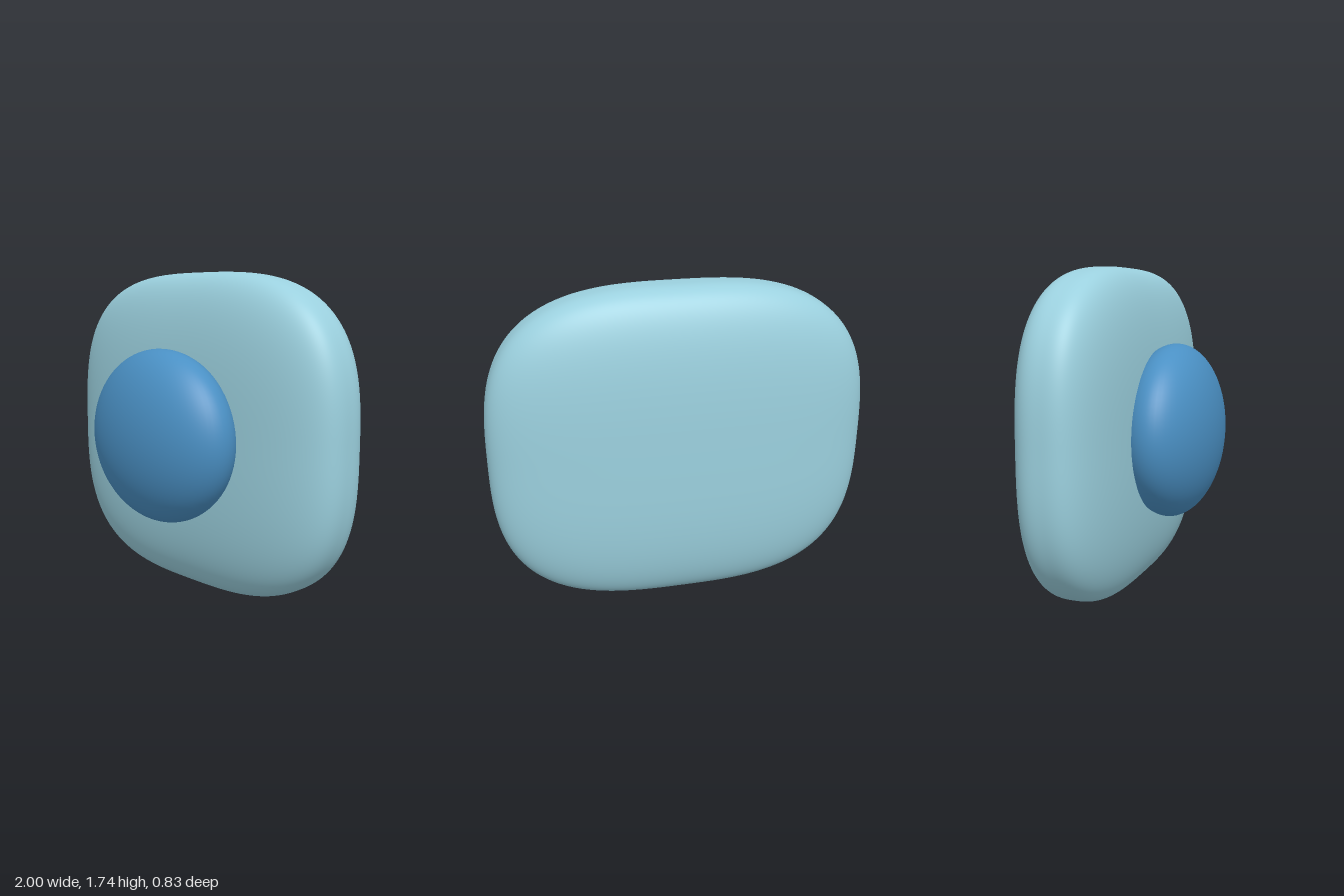
import * as THREE from 'three';

// Rounded pillow: a cube grid pushed onto |x|^n + |y|^n + |z|^n = 1, then scaled
function pillowGeometry(radii, n, segments) {
  const geometry = new THREE.BoxGeometry(2, 2, 2, segments, segments, segments);
  const position = geometry.attributes.position;
  const normal = geometry.attributes.normal;
  const p = new THREE.Vector3();
  const slope = (v, r) => Math.sign(v) * Math.abs(v) ** (n - 1) / r;
  for (let i = 0; i < position.count; i++) {
    p.fromBufferAttribute(position, i);
    const size = (Math.abs(p.x) ** n + Math.abs(p.y) ** n + Math.abs(p.z) ** n) ** (1 / n);
    p.divideScalar(size);
    position.setXYZ(i, p.x * radii.x, p.y * radii.y, p.z * radii.z);
    // exact surface normal keeps the cube seams smooth
    p.set(slope(p.x, radii.x), slope(p.y, radii.y), slope(p.z, radii.z)).normalize();
    normal.setXYZ(i, p.x, p.y, p.z);
  }
  return geometry;
}

export function createModel() {
  const model = new THREE.Group();
  const centreY = 0.872;

  // Flat, rounded-square body
  const body = new THREE.Mesh(
    pillowGeometry(new THREE.Vector3(1, 0.872, 0.26), 3, 48),
    new THREE.MeshStandardMaterial({ color: 0x9bd0de })
  );
  body.name = 'body';
  body.position.set(0, centreY, -0.157);
  model.add(body);

  // Domed button set into the front
  const button = new THREE.Mesh(
    new THREE.SphereGeometry(1, 64, 40),
    new THREE.MeshStandardMaterial({ color: 0x4a90c4 })
  );
  button.name = 'button';
  button.scale.set(0.51, 0.467, 0.25);
  button.position.set(0, centreY, 0.167);
  model.add(button);

  return model;
}
